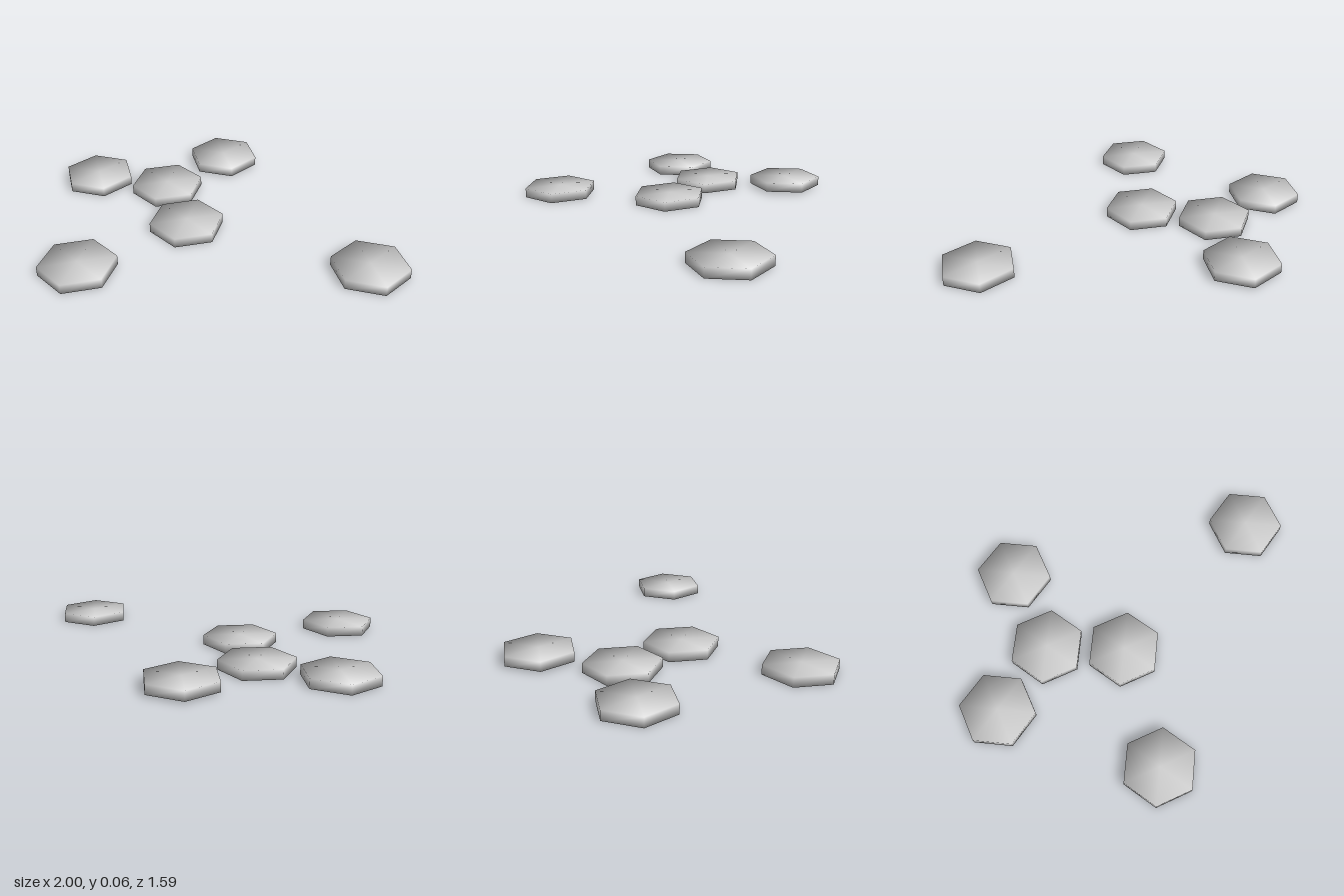
import * as THREE from 'three';

const RADIUS = 0.195;
const HEIGHT = 0.05;

// Hexagonal slab whose normals blend smoothly from the caps into the rim
function hexTileGeometry() {
  const geometry = new THREE.CylinderGeometry(RADIUS, RADIUS, HEIGHT, 6);
  const position = geometry.attributes.position;
  const normal = geometry.attributes.normal;
  for (let i = 0; i < position.count; i++) {
    normal.setXYZ(
      i,
      (position.getX(i) / RADIUS) * 0.79,
      Math.sign(position.getY(i)) * 0.61,
      (position.getZ(i) / RADIUS) * 0.79
    );
  }
  return geometry;
}

export function createModel() {
  const group = new THREE.Group();
  group.name = 'hexTiles';

  const paleGrey = new THREE.MeshStandardMaterial({ color: 0xcccccc });
  paleGrey.name = 'paleGrey';
  const geometry = hexTileGeometry();

  // Each tile: x, z, base height, turned (flat sides to front and back)
  const tiles = [
    [-0.805, -0.235, 0, true],
    [-0.175, -0.627, 0.01, true],
    [0.805, 0.217, 0, true],
    [-0.393, -0.238, 0, false],
    [-0.17, 0.095, 0, false],
    [-0.563, 0.595, 0, false],
  ];
  tiles.forEach(([x, z, base, turned], i) => {
    const tile = new THREE.Mesh(geometry, paleGrey);
    tile.name = `hexTile${i + 1}`;
    tile.position.set(x, base + HEIGHT / 2, z);
    tile.rotation.y = turned ? Math.PI / 6 : 0;
    group.add(tile);
  });

  return group;
}
